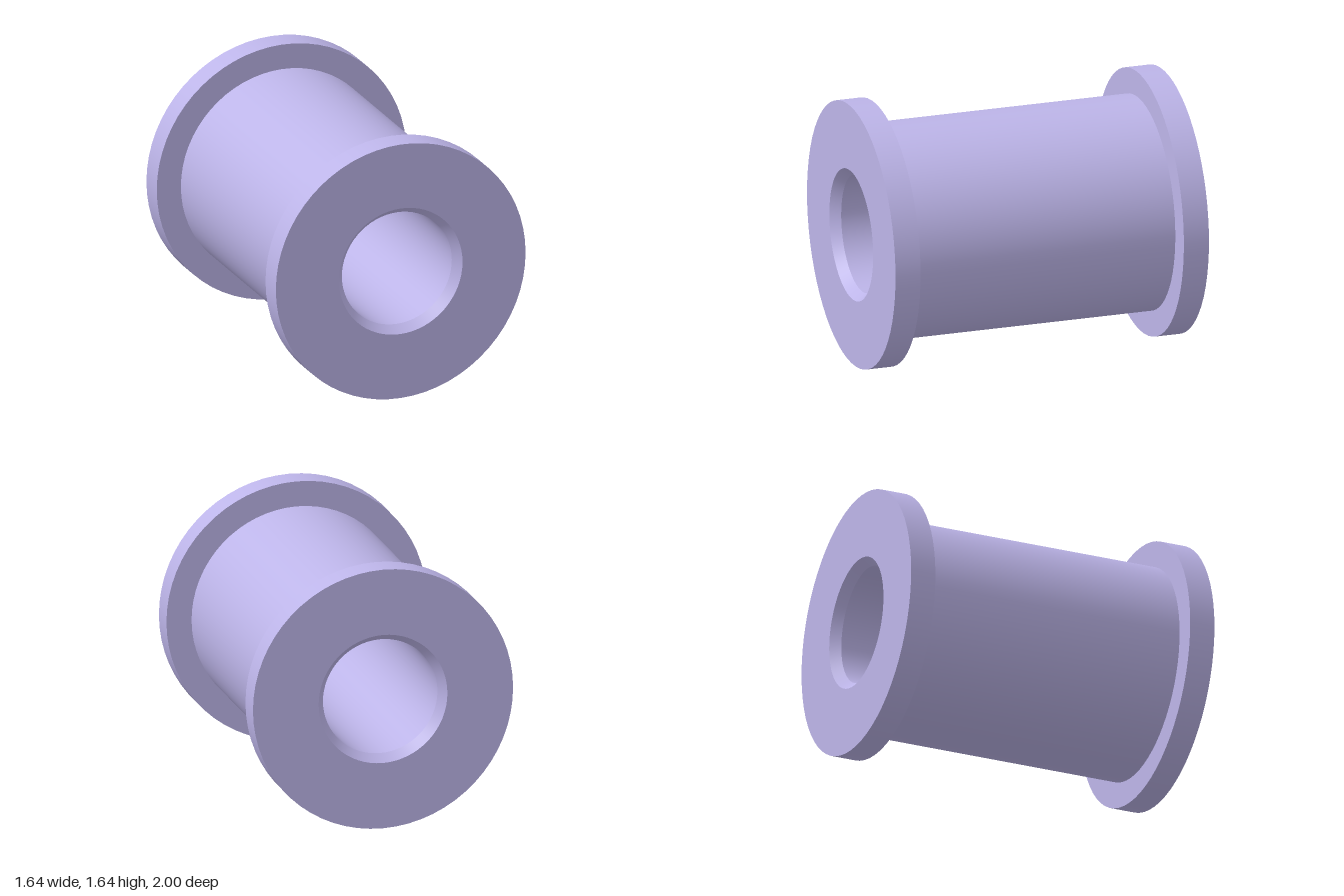
import * as THREE from 'three';
import { mergeGeometries } from 'three/addons/utils/BufferGeometryUtils.js';

const FLANGE_R = 0.818, SLEEVE_R = 0.66, BORE_R = 0.36, MOUTH_R = 0.405;
const HALF = 1, FLANGE_INNER = 0.84, CHAMFER = 0.06, SEGMENTS = 64;

// Revolves a profile of [radius, z] points about z, with sharp edges between bands
function revolve(profile) {
  const bands = [];
  for (let i = 0; i < profile.length - 1; i++) {
    const points = [profile[i], profile[i + 1]].map(([r, z]) => new THREE.Vector2(r, z));
    bands.push(new THREE.LatheGeometry(points, SEGMENTS));
  }
  return mergeGeometries(bands).rotateX(Math.PI / 2);
}

export function createModel() {
  const group = new THREE.Group();
  group.name = 'flangedBushing';
  const material = new THREE.MeshStandardMaterial({ color: 0xbcb4e8 });

  const add = (name, profile) => {
    const mesh = new THREE.Mesh(revolve(profile), material);
    mesh.name = name;
    mesh.position.y = FLANGE_R;
    group.add(mesh);
    return mesh;
  };

  // Outer wall of the sleeve
  add('sleeve', [[SLEEVE_R, -FLANGE_INNER], [SLEEVE_R, FLANGE_INNER]]);

  // Straight bore through the middle
  add('bore', [[BORE_R, HALF - CHAMFER], [BORE_R, CHAMFER - HALF]]);

  // End flanges, each with a chamfered bore mouth
  const flange = [
    [SLEEVE_R, FLANGE_INNER], [FLANGE_R, FLANGE_INNER], [FLANGE_R, HALF],
    [MOUTH_R, HALF], [BORE_R, HALF - CHAMFER],
  ];
  add('frontFlange', flange);
  add('backFlange', flange).rotation.y = Math.PI;

  return group;
}
